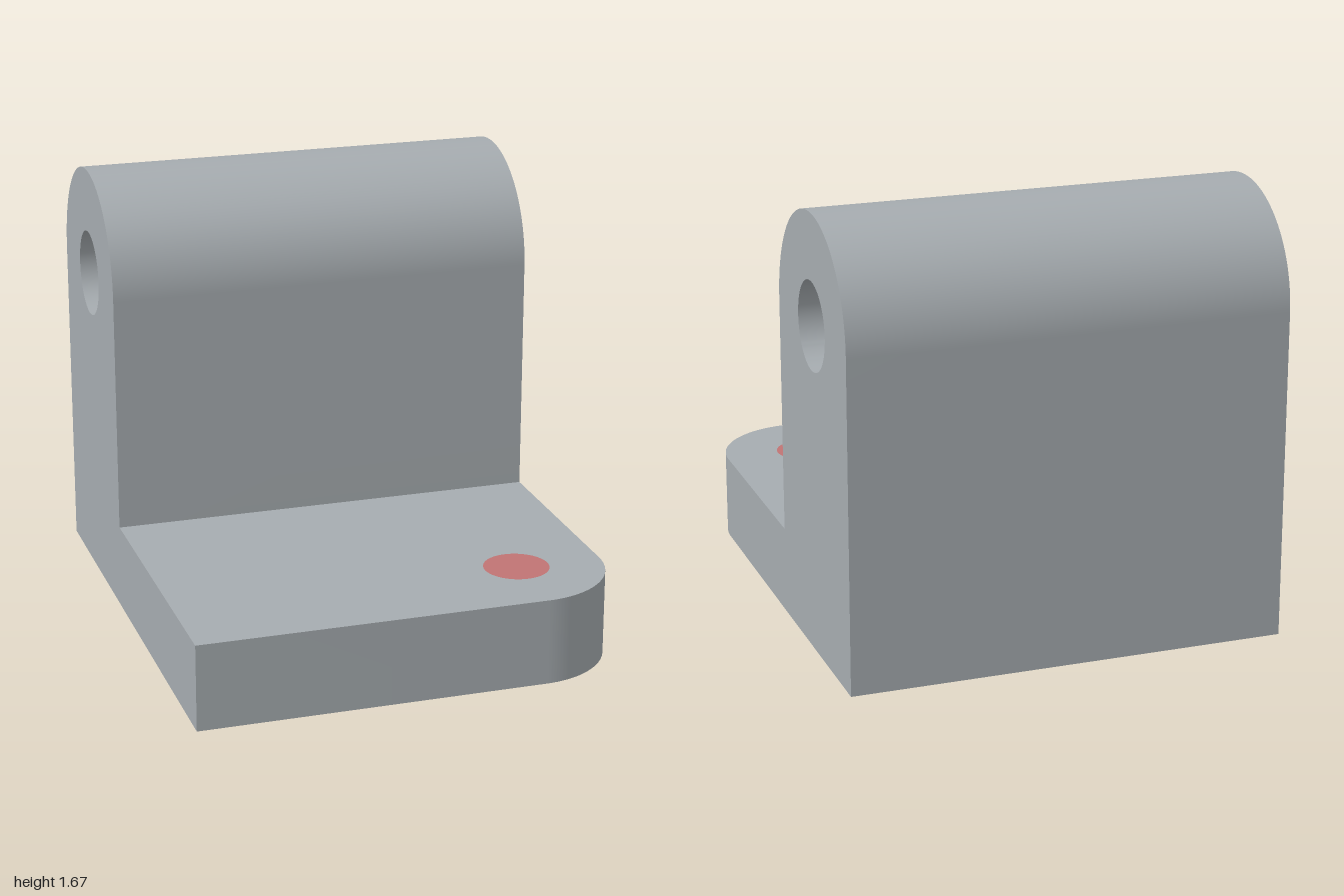
import * as THREE from 'three';
import { toCreasedNormals } from 'three/addons/utils/BufferGeometryUtils.js';

const HALF_WIDTH = 0.8333, BASE_HEIGHT = 0.3333;
const BACK = -1, STEP = -0.1667, FRONT = 1;

function extrude(shape, depth) {
  return new THREE.ExtrudeGeometry(shape, { depth, bevelEnabled: false, curveSegments: 48 });
}

export function createModel() {
  const grey = new THREE.MeshStandardMaterial({ color: 0xa6acb0 });
  grey.name = 'grey';
  const red = new THREE.MeshStandardMaterial({ color: 0xc07474 });
  red.name = 'red';

  const group = new THREE.Group();
  group.name = 'hingeBracket';
  const add = (name, geometry, material) => {
    const mesh = new THREE.Mesh(geometry, material);
    mesh.name = name;
    group.add(mesh);
    return mesh;
  };

  // Base plate: plan outline (x, -z) with one rounded front corner
  const cornerX = 0.5, cornerZ = 0.6667, cornerR = 0.3333;
  const plan = new THREE.Shape();
  plan.moveTo(-HALF_WIDTH, -FRONT);
  plan.lineTo(cornerX, -FRONT);
  plan.absarc(cornerX, -cornerZ, cornerR, -Math.PI / 2, 0, false);
  plan.lineTo(HALF_WIDTH, -STEP);
  plan.lineTo(-HALF_WIDTH, -STEP);
  plan.closePath();
  const base = extrude(plan, BASE_HEIGHT).rotateX(-Math.PI / 2);
  add('basePlate', toCreasedNormals(base, 0.5), grey);

  // Upright: side outline (z, y) with a round top and a through hole
  const pinZ = (BACK + STEP) / 2, pinY = 1.25, topR = (STEP - BACK) / 2;
  const side = new THREE.Shape();
  side.moveTo(BACK, 0);
  side.lineTo(STEP, 0);
  side.lineTo(STEP, pinY);
  side.absarc(pinZ, pinY, topR, 0, Math.PI, false);
  side.closePath();
  const hole = new THREE.Path();
  hole.absarc(pinZ, pinY, 0.1667, 0, Math.PI * 2, true);
  side.holes.push(hole);
  const upright = extrude(side, HALF_WIDTH * 2)
    .rotateY(-Math.PI / 2)
    .translate(HALF_WIDTH, 0, 0);
  add('upright', toCreasedNormals(upright, 0.5), grey);

  // Round marks on the top and underside of the base, centred on the corner
  for (const [name, y, turn] of [['topMark', BASE_HEIGHT + 0.002, -1], ['bottomMark', -0.002, 1]]) {
    const mark = add(name, new THREE.CircleGeometry(0.125, 64), red);
    mark.rotation.x = turn * Math.PI / 2;
    mark.position.set(cornerX, y, cornerZ);
  }

  return group;
}
